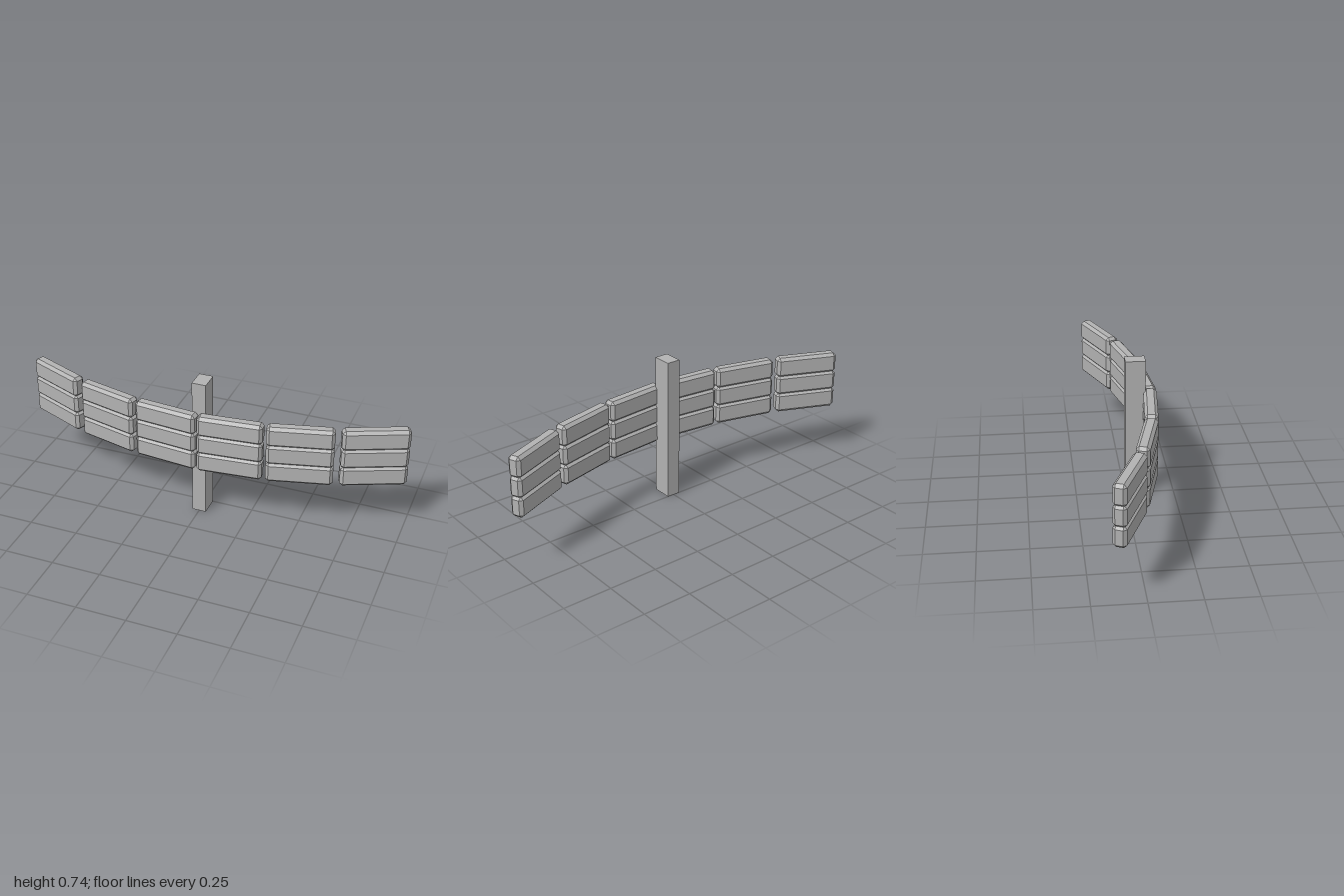
import * as THREE from 'three';
import { ConvexGeometry } from 'three/addons/geometries/ConvexGeometry.js';

// Box with every edge cut flat by c
function chamferedBox(w, h, d, c) {
  const points = [];
  for (const x of [-w / 2, w / 2]) for (const y of [-h / 2, h / 2]) for (const z of [-d / 2, d / 2]) {
    const ix = x - Math.sign(x) * c, iy = y - Math.sign(y) * c, iz = z - Math.sign(z) * c;
    points.push(
      new THREE.Vector3(x, iy, iz),
      new THREE.Vector3(ix, y, iz),
      new THREE.Vector3(ix, iy, z)
    );
  }
  return new ConvexGeometry(points);
}

export function createModel() {
  const model = new THREE.Group();
  model.name = 'curvedFence';
  const grey = new THREE.MeshStandardMaterial({ color: 0xb2b2b2 });
  grey.name = 'grey';

  // Upright post behind the rails
  const post = new THREE.Mesh(new THREE.BoxGeometry(0.072, 0.738, 0.1), grey);
  post.name = 'post';
  post.position.set(0, 0.369, 0.049);
  model.add(post);

  // Three rows of blocks bending backwards towards both ends
  const depth = 0.066;
  const block = chamferedBox(0.328, 0.107, depth, 0.015);
  const segments = [ // x, z of the front face, turn in degrees
    { x: 0.166, z: 0.141, turn: 5.5 },
    { x: 0.503, z: 0.084, turn: 14 },
    { x: 0.841, z: -0.031, turn: 23 }
  ];
  for (const y of [0.3305, 0.4305, 0.5305]) {
    const row = new THREE.Group();
    row.name = 'rail';
    for (const side of [-1, 1]) for (const s of segments) {
      const angle = THREE.MathUtils.degToRad(s.turn);
      const mesh = new THREE.Mesh(block, grey);
      mesh.name = side > 0 ? 'leftBlock' : 'rightBlock';
      mesh.position.set(
        side * s.x,
        y,
        s.z - Math.cos(angle) * depth / 2
      );
      mesh.rotation.y = side * angle;
      row.add(mesh);
    }
    model.add(row);
  }
  return model;
}
